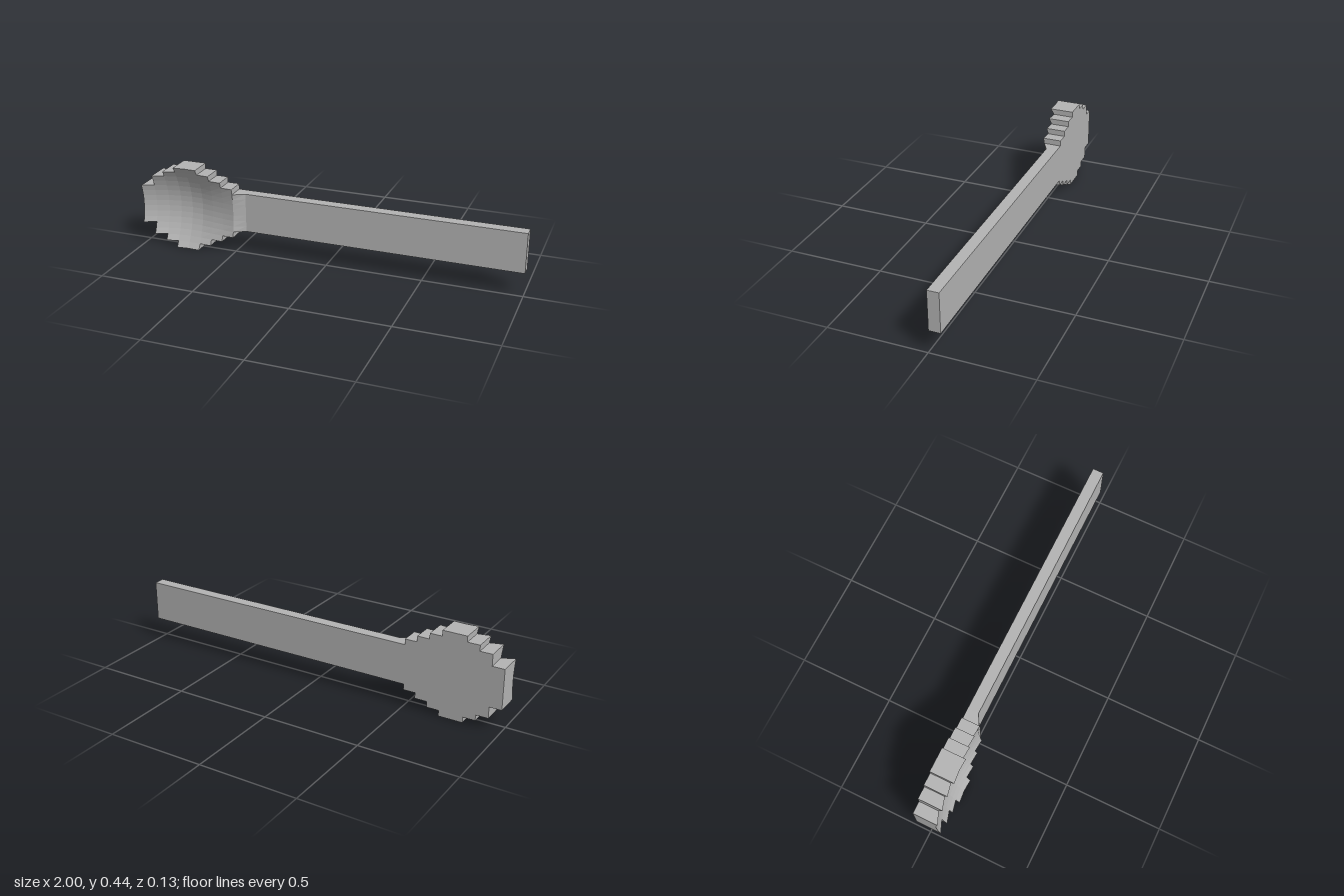
import * as THREE from 'three';

const ROW = 0.0295, MID = 7.5 * ROW, BACK = -0.064;
// Column edges: eight bowl steps, the neck ramp, then the long handle
const X = [-1, -0.938, -0.875, -0.812, -0.75, -0.688, -0.625, -0.562, -0.5, -0.44, 1];
// Half height of each column, in rows
const HALF = [3.5, 5.5, 6.5, 7.5, 7.5, 6.5, 5.5, 4.5, 3.5, 3.5];
// Front surface at each column edge: depth on the centre line and cross curvature
const DEPTH = [0.049, 0.023, 0.003, -0.011, -0.017, -0.014, -0.002, 0.008, 0.018, -0.006, -0.006];
const CURVE = [1.5, 1.5, 1.5, 1.5, 1.5, 1.5, 1.3, 1.1, 0.8, 0, 0];

const filled = (i, j) => i >= 0 && i < HALF.length && Math.abs(j - 7) < HALF[i];
const point = (i, j, front) => {
  const y = j * ROW;
  return [X[i], y, front ? DEPTH[i] + CURVE[i] * (y - MID) ** 2 : BACK];
};

// Stepped slab over a range of columns, with walls only where a neighbour is missing
function slab(name, from, to, material) {
  const pos = [];
  const quad = (a, b, c, d) => pos.push(...a, ...b, ...c, ...a, ...c, ...d);
  for (let i = from; i < to; i++) {
    for (let j = 0; j < 15; j++) {
      if (!filled(i, j)) continue;
      const [f00, f10, f11, f01] = [[0, 0], [1, 0], [1, 1], [0, 1]].map(([a, b]) => point(i + a, j + b, true));
      const [b00, b10, b11, b01] = [[0, 0], [1, 0], [1, 1], [0, 1]].map(([a, b]) => point(i + a, j + b, false));
      quad(f00, f10, f11, f01);
      quad(b10, b00, b01, b11);
      if (!filled(i, j + 1)) quad(f01, f11, b11, b01);
      if (!filled(i, j - 1)) quad(b00, b10, f10, f00);
      if (!filled(i + 1, j)) quad(f10, b10, b11, f11);
      if (!filled(i - 1, j)) quad(b00, f00, f01, b01);
    }
  }
  const geo = new THREE.BufferGeometry();
  geo.setAttribute('position', new THREE.Float32BufferAttribute(pos, 3));
  geo.computeVertexNormals();
  const mesh = new THREE.Mesh(geo, material);
  mesh.name = name;
  return mesh;
}

export function createModel() {
  const group = new THREE.Group();
  group.name = 'spoon';
  const grey = new THREE.MeshStandardMaterial({ color: 0xb3b3b3 });
  grey.name = 'grey';
  group.add(slab('bowl', 0, 8, grey), slab('neck', 8, 9, grey), slab('handle', 9, 10, grey));
  return group;
}
